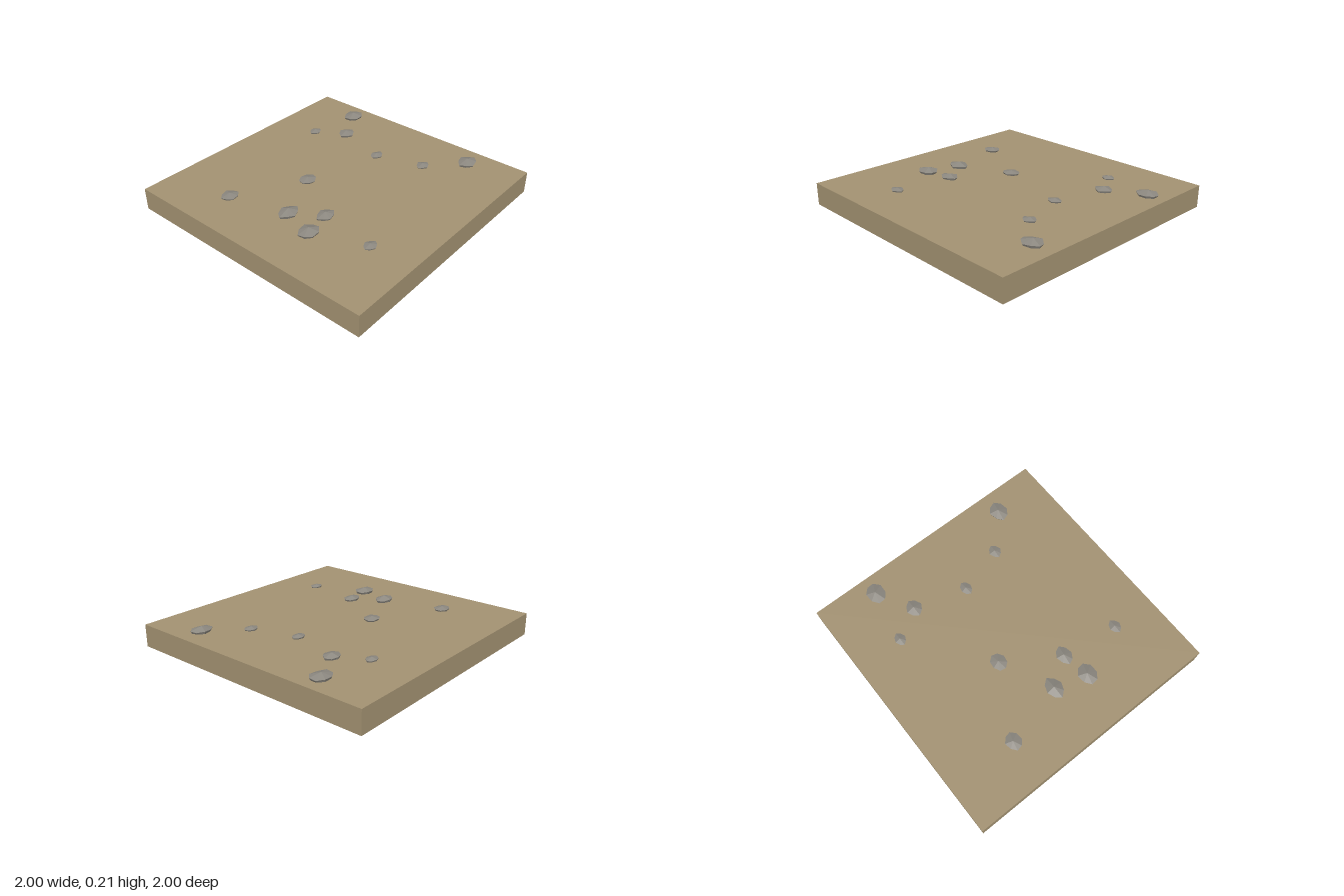
import * as THREE from 'three';

const SLAB_HEIGHT = 0.17;

// Centre x, centre z, width, depth, height, turn of the facets
const STONES = [
  [0.44, -0.635, 0.11, 0.085, 0.024, 0.0],
  [0.845, -0.565, 0.16, 0.13, 0.04, 0.4],
  [0.573, -0.412, 0.145, 0.125, 0.036, 0.0],
  [-0.662, -0.462, 0.135, 0.115, 0.028, 0.3],
  [-0.145, -0.182, 0.14, 0.115, 0.027, -0.2],
  [-0.545, 0.005, 0.18, 0.13, 0.044, 0.0],
  [-0.615, 0.255, 0.16, 0.13, 0.042, 0.35],
  [-0.403, 0.217, 0.155, 0.115, 0.035, 0.2],
  [-0.463, 0.655, 0.115, 0.09, 0.023, 0.0],
  [0.82, 0.583, 0.17, 0.135, 0.041, 0.25],
  [0.568, 0.347, 0.115, 0.095, 0.024, 0.1],
  [0.462, -0.012, 0.115, 0.085, 0.024, -0.1],
];

// Faceted pebble: undercut foot, wide irregular rim, off-centre peak
function stoneGeometry(width, depth, height, turn) {
  const sides = 8;
  const rim = [];
  for (let i = 0; i < sides; i++) {
    const a = (i / sides) * Math.PI * 2 + turn;
    const r = 1 + 0.07 * Math.cos(3 * i + turn * 5);
    rim.push([Math.cos(a) * r, Math.sin(a) * r, 0.42 + 0.1 * Math.sin(i * 2.4 + turn)]);
  }
  // Fit the rim to the wanted width and depth
  const fit = (axis, size) => {
    const values = rim.map((p) => p[axis]);
    const low = Math.min(...values);
    const scale = size / (Math.max(...values) - low);
    rim.forEach((p) => { p[axis] = (p[axis] - low) * scale - size / 2; });
  };
  fit(0, width);
  fit(1, depth);

  const positions = [];
  rim.forEach(([x, z]) => positions.push(x * 0.86, -0.004, z * 0.86));
  rim.forEach(([x, z, y]) => positions.push(x, y * height, z));
  positions.push(0.02 * width, height, -0.03 * depth);

  const index = [];
  for (let i = 0; i < sides; i++) {
    const j = (i + 1) % sides;
    index.push(i, sides + i, j, j, sides + i, sides + j);
    index.push(sides + i, sides * 2, sides + j);
  }
  const geometry = new THREE.BufferGeometry();
  geometry.setAttribute('position', new THREE.Float32BufferAttribute(positions, 3));
  geometry.setIndex(index);
  const faceted = geometry.toNonIndexed();
  faceted.computeVertexNormals();
  return faceted;
}

export function createModel() {
  const model = new THREE.Group();
  model.name = 'stonyGroundTile';

  const earth = new THREE.MeshStandardMaterial({ color: 0xa39272 });
  earth.name = 'earth';
  const stone = new THREE.MeshStandardMaterial({ color: 0x8c8880 });
  stone.name = 'greyStone';

  // Ground slab
  const slab = new THREE.Mesh(new THREE.BoxGeometry(2, SLAB_HEIGHT, 2), earth);
  slab.name = 'groundSlab';
  slab.position.y = SLAB_HEIGHT / 2;
  model.add(slab);

  // Scattered pebbles
  const stones = new THREE.Group();
  stones.name = 'stones';
  STONES.forEach(([x, z, width, depth, height, turn], i) => {
    const mesh = new THREE.Mesh(stoneGeometry(width, depth, height, turn), stone);
    mesh.name = `stone${i + 1}`;
    mesh.position.set(x, SLAB_HEIGHT, z);
    stones.add(mesh);
  });
  model.add(stones);
  return model;
}
